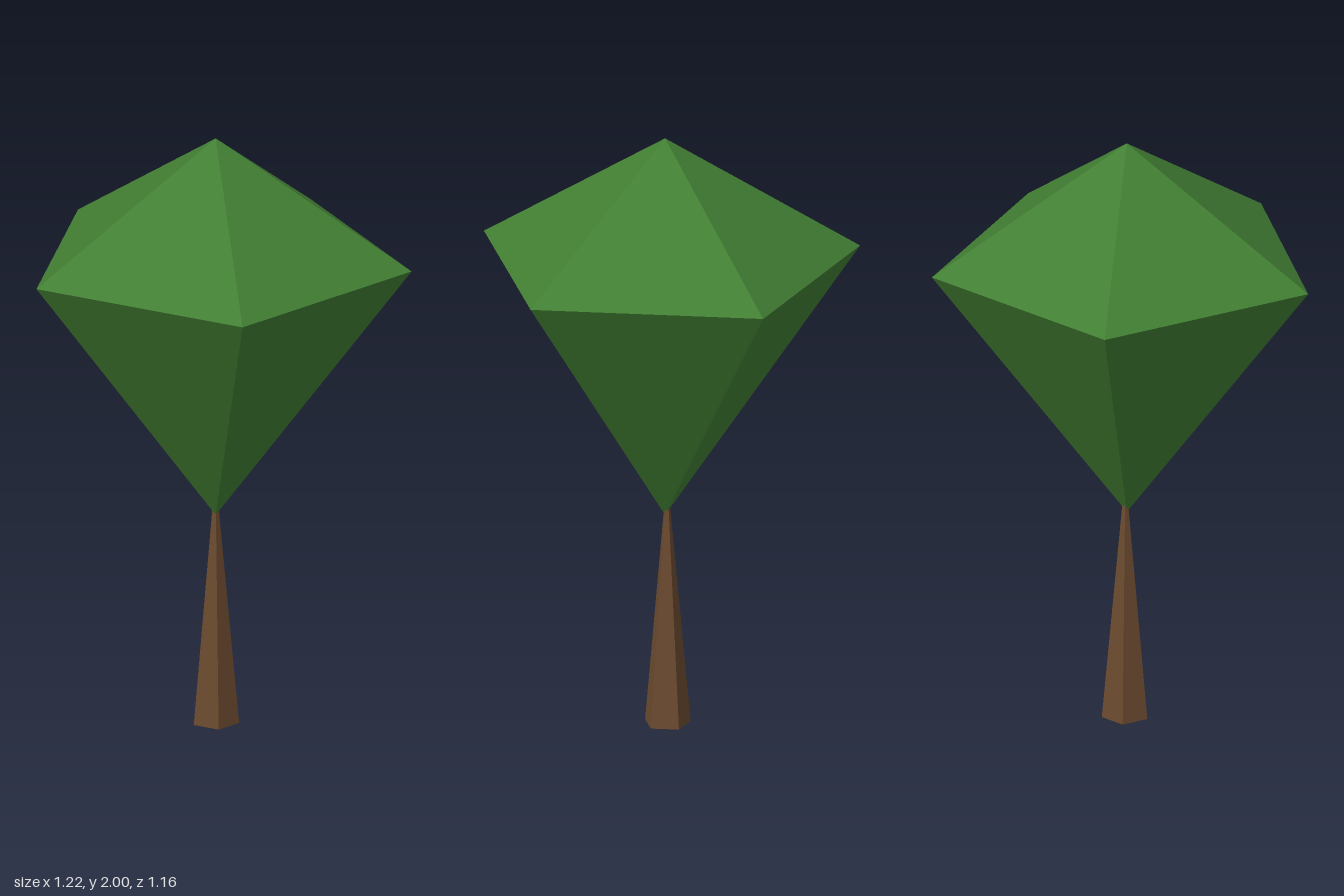
import * as THREE from 'three';

export function createModel() {
  const tree = new THREE.Group();
  tree.name = 'tree';

  const leafGreen = new THREE.MeshStandardMaterial({ color: 0x427f33 });
  leafGreen.name = 'leafGreen';
  const barkBrown = new THREE.MeshStandardMaterial({ color: 0x6b4a2f });
  barkBrown.name = 'barkBrown';

  const SIDES = 5;
  const RADIUS = 0.64;
  const TIP = 0.71, RIM = 1.586, TOP = 2;

  // Five-sided tapering piece between two heights, one corner facing the front
  function taper(name, material, rTop, rBottom, y0, y1, z, open) {
    const geometry = new THREE.CylinderGeometry(rTop, rBottom, y1 - y0, SIDES, 1, open).toNonIndexed();
    geometry.computeVertexNormals(); // flat facets
    const mesh = new THREE.Mesh(geometry, material);
    mesh.name = name;
    mesh.position.set(0, (y0 + y1) / 2, z);
    return mesh;
  }

  // Trunk narrows to a point hidden inside the crown
  tree.add(taper('trunk', barkBrown, 0, 0.0774, 0, 0.85, -0.07, false));

  // Crown: deep lower pyramid and shallow upper pyramid sharing one rim
  const crown = new THREE.Group();
  crown.name = 'crown';
  crown.add(
    taper('lowerCrown', leafGreen, RADIUS, 0, TIP, RIM, -0.063, true),
    taper('upperCrown', leafGreen, 0, RADIUS, RIM, TOP, -0.063, true)
  );
  tree.add(crown);

  return tree;
}
